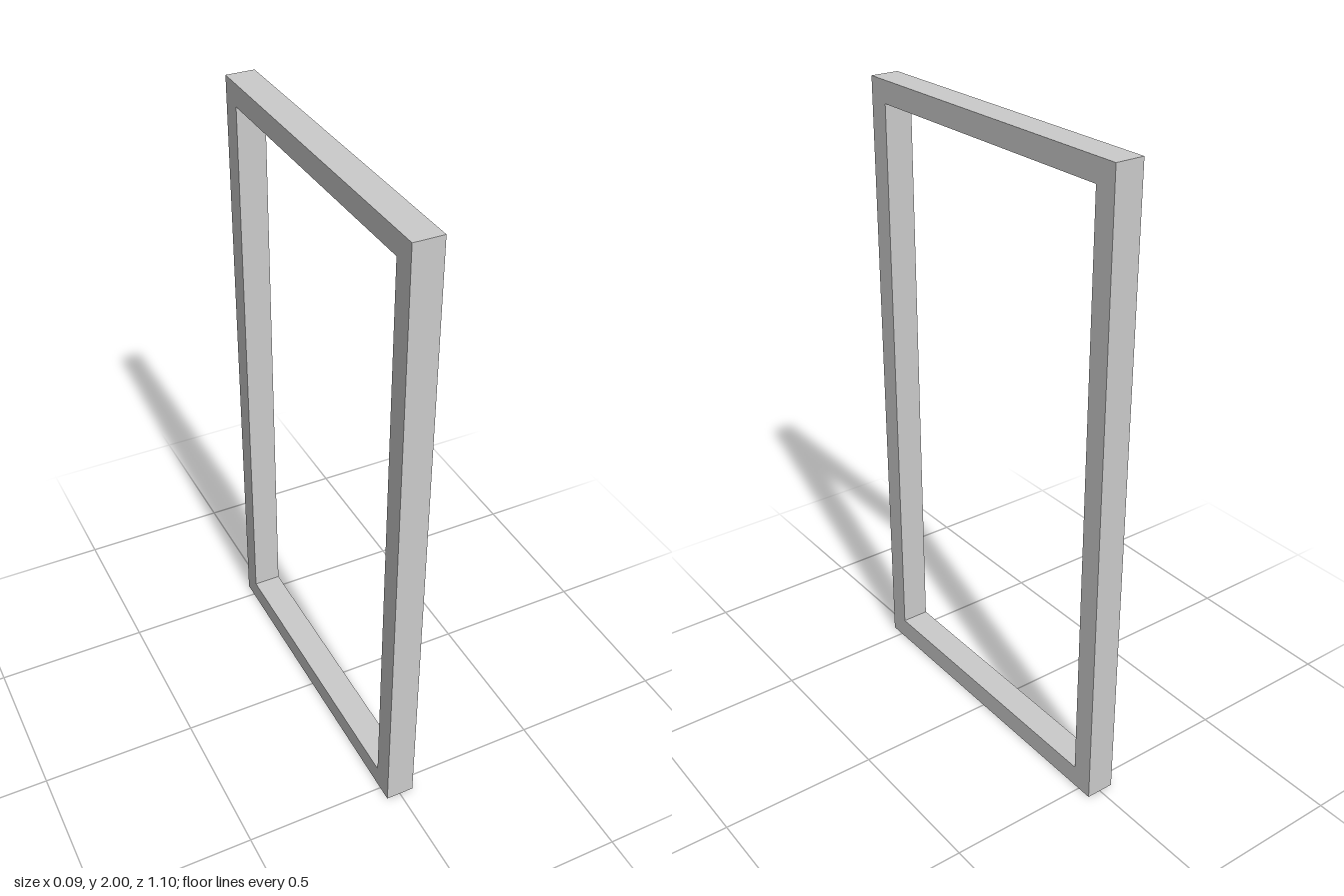
import * as THREE from 'three';

const HEIGHT = 2, WIDTH = 1.096, DEPTH = 0.091, BORDER = 0.07;

// Adds a closed rectangle to a shape or path, inset from the outer outline
function rectangle(path, inset) {
  const w = WIDTH / 2 - inset;
  path.moveTo(-w, inset);
  path.lineTo(w, inset);
  path.lineTo(w, HEIGHT - inset);
  path.lineTo(-w, HEIGHT - inset);
  path.closePath();
  return path;
}

export function createModel() {
  const group = new THREE.Group();
  group.name = 'rectangularFrame';

  // One continuous frame with an open centre
  const outline = rectangle(new THREE.Shape(), 0);
  outline.holes.push(rectangle(new THREE.Path(), BORDER));
  const geometry = new THREE.ExtrudeGeometry(outline, { depth: DEPTH, bevelEnabled: false });
  geometry.translate(0, 0, -DEPTH / 2);
  geometry.rotateY(Math.PI / 2); // the width runs along z

  const frame = new THREE.Mesh(geometry, new THREE.MeshStandardMaterial({ color: 0xcccccc }));
  frame.name = 'frame';
  group.add(frame);
  return group;
}
